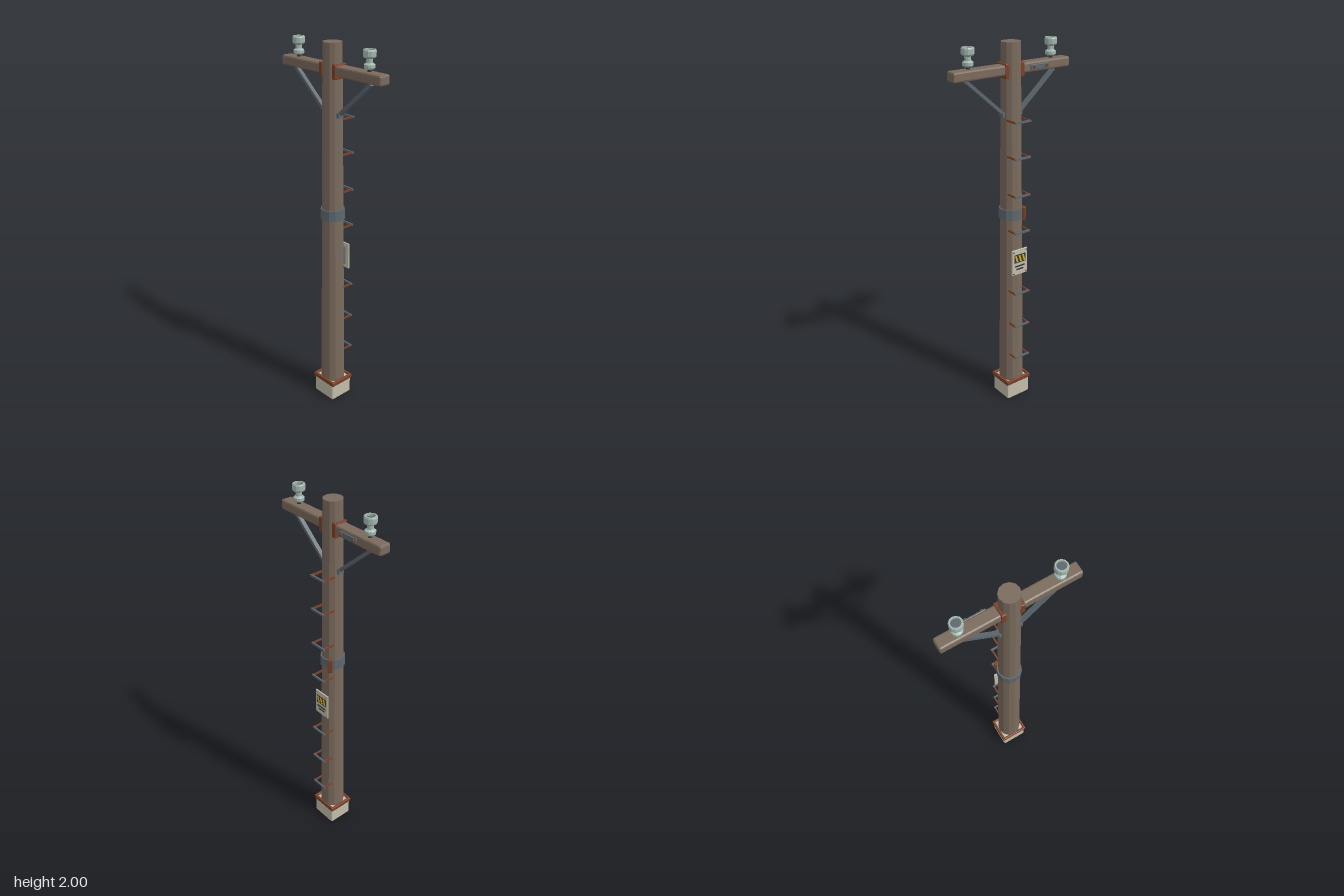
import * as THREE from 'three';
import { RoundedBoxGeometry } from 'three/addons/geometries/RoundedBoxGeometry.js';

const mat = (color, side = THREE.FrontSide) =>
  new THREE.MeshStandardMaterial({ color, flatShading: true, side });
const WOOD = mat(0x7a6a5c), RUST = mat(0x7a4028), STEEL = mat(0x5c666e), DARK = mat(0x33363a),
  CONCRETE = mat(0xc2bca8), GLASS = mat(0xa2b6ae, THREE.DoubleSide), YELLOW = mat(0xd8b020);
const ZC = 0.0125; // depth of the pole axis

export function createModel() {
  const root = new THREE.Group();

  const add = (name, geo, material, x, y, z, parent = root) => {
    const m = new THREE.Mesh(geo, material);
    m.name = name;
    m.position.set(x, y, z);
    parent.add(m);
    return m;
  };
  const group = (name, x = 0, y = 0, z = 0) => {
    const g = new THREE.Group();
    g.name = name;
    g.position.set(x, y, z);
    root.add(g);
    return g;
  };
  const box = (w, h, d) => new THREE.BoxGeometry(w, h, d);
  const bevelBox = (w, h, d, r) => new RoundedBoxGeometry(w, h, d, 1, r);
  const cyl = (rt, rb, h, n = 8) => new THREE.CylinderGeometry(rt, rb, h, n);
  // short bolt head pointing backwards
  const bolt = (x, y, z, r, parent, material = RUST) => {
    add('bolt', cyl(r, r, 0.01, 6), material, x, y, z, parent).rotation.x = Math.PI / 2;
  };

  // concrete footing with a rusty square frame around its top
  add('footing', bevelBox(0.148, 0.108, 0.14, 0.008), CONCRETE, 0, 0.056, ZC + 0.001);
  const frame = group('footingFrame', 0, 0.108, ZC + 0.001);
  for (const s of [-1, 1]) {
    add('frameBar', bevelBox(0.162, 0.025, 0.014, 0.004), RUST, 0, 0, s * 0.066, frame);
    add('frameBar', bevelBox(0.014, 0.025, 0.146, 0.004), RUST, s * 0.074, 0, 0, frame);
  }

  // tapered twelve-sided pole
  add('pole', cyl(0.049, 0.068, 1.95, 12), WOOD, 0, 1.025, ZC);

  // steel band with a rusty clasp
  add('band', cyl(0.064, 0.066, 0.055, 12), STEEL, 0, 1.125, ZC);
  const clasp = group('bandClasp', -0.043, 1.122, -0.042);
  clasp.rotation.y = Math.PI / 4;
  add('claspPlate', bevelBox(0.026, 0.075, 0.018, 0.003), RUST, 0, 0, 0, clasp);

  // crossarm
  add('crossarm', bevelBox(0.696, 0.05, 0.064, 0.009), WOOD, 0, 1.87, ZC - 0.001);

  for (const s of [-1, 1]) {
    // rusty sleeve where the arm meets the pole
    add('armBracket', bevelBox(0.024, 0.072, 0.074, 0.004), RUST, s * 0.046, 1.866, ZC);

    // diagonal brace
    const a = new THREE.Vector3(s * 0.265, 1.84, ZC), b = new THREE.Vector3(s * 0.045, 1.65, ZC);
    const mid = a.clone().add(b).multiplyScalar(0.5);
    const brace = add('brace', box(0.016, a.distanceTo(b), 0.022), STEEL, mid.x, mid.y, ZC);
    brace.rotation.z = -Math.atan2(a.x - b.x, a.y - b.y);
    add('braceFoot', box(0.016, 0.026, 0.034), STEEL, s * 0.053, 1.653, ZC);

    // insulator with a hollow top on a steel pin
    const ins = group('insulator', s * 0.248, 1.89, ZC);
    add('pin', cyl(0.01, 0.01, 0.03), DARK, 0, 0.01, 0, ins);
    const profile = [[0, 0.018], [0.023, 0.018], [0.027, 0.024], [0.027, 0.038], [0.016, 0.046],
      [0.016, 0.064], [0.028, 0.07], [0.032, 0.076], [0.032, 0.1], [0.029, 0.106],
      [0.023, 0.106], [0.023, 0.092]].map(p => new THREE.Vector2(...p));
    add('body', new THREE.LatheGeometry(profile, 12), GLASS, 0, 0, 0, ins);
    add('cap', cyl(0.0235, 0.0235, 0.008, 12), STEEL, 0, 0.09, 0, ins);
  }

  // bolted strap on the back of the crossarm
  const strap = group('armStrap', -0.148, 1.87, -0.026);
  add('strapPlate', bevelBox(0.112, 0.026, 0.009, 0.003), STEEL, 0, 0, 0, strap);
  for (const s of [-1, 1]) bolt(s * 0.04, 0, -0.007, 0.007, strap);

  // climbing rungs up the back
  for (const y of [0.285, 0.485, 0.685, 1.04, 1.24, 1.44, 1.625]) {
    const rung = group('rung', 0, y, 0);
    add('rungBar', box(0.096, 0.01, 0.009), STEEL, 0, 0, -0.085, rung);
    for (const s of [-1, 1]) add('rungLeg', box(0.008, 0.009, 0.09), RUST, s * 0.042, 0, -0.037, rung);
  }

  // warning plate on the back
  const sign = group('warningPlate', 0, 0.862, -0.061);
  add('plate', bevelBox(0.098, 0.146, 0.008, 0.002), CONCRETE, 0, 0, 0, sign);
  add('plateMount', box(0.05, 0.1, 0.03), STEEL, 0, 0, 0.017, sign);
  add('hazardPanel', box(0.074, 0.046, 0.003), DARK, 0, 0.022, -0.005, sign);
  const slash = new THREE.Shape([[-0.011, -0.018], [0, -0.018], [0.011, 0.018], [0, 0.018]]
    .map(p => new THREE.Vector2(...p)));
  const slashGeo = new THREE.ExtrudeGeometry(slash, { depth: 0.003, bevelEnabled: false });
  for (const i of [-1, 0, 1]) add('hazardStripe', slashGeo, YELLOW, i * 0.023, 0.022, -0.0085, sign);
  add('plainBar', box(0.062, 0.008, 0.003), DARK, 0, -0.022, -0.005, sign);
  add('plainBar', box(0.044, 0.007, 0.003), DARK, 0, -0.04, -0.005, sign);
  for (const sx of [-1, 1]) for (const sy of [-1, 1]) bolt(sx * 0.041, sy * 0.063, -0.004, 0.004, sign, STEEL);

  return root;
}
